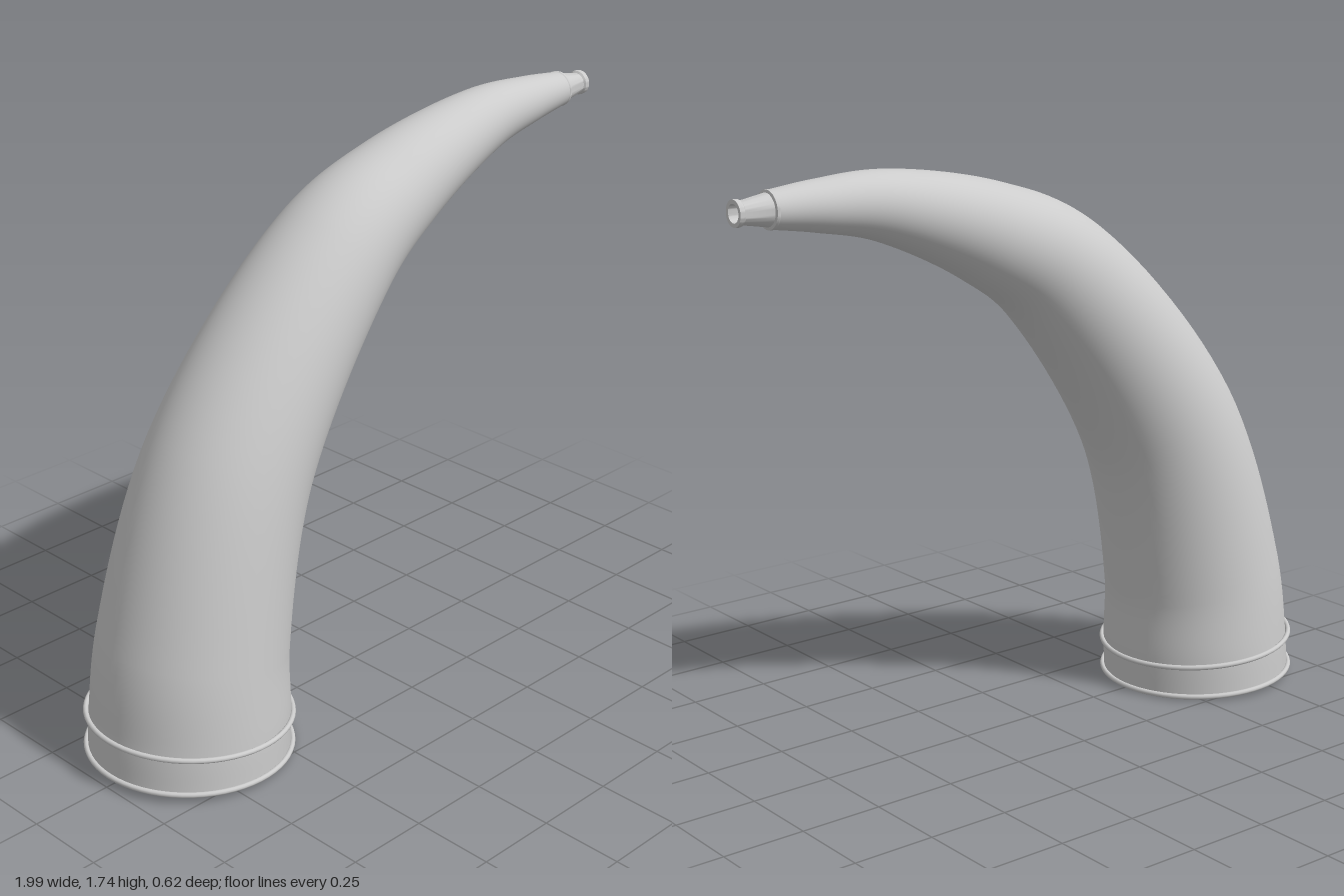
import * as THREE from 'three';
import { toCreasedNormals } from 'three/addons/utils/BufferGeometryUtils.js';

const UP = new THREE.Vector3(0, 1, 0);
const SIDES = 64;

// Centre line of the horn in the xy plane; the third number is the radius there.
const path = new THREE.CatmullRomCurve3([
  [-0.685, 0.018, 0.297], [-0.679, 0.125, 0.295], [-0.66, 0.345, 0.281],
  [-0.5, 0.865, 0.244], [-0.092, 1.374, 0.19], [0.163, 1.521, 0.153],
  [0.525, 1.636, 0.101], [0.74, 1.656, 0.073], [0.89, 1.66, 0.053],
].map((p) => new THREE.Vector3(...p)));

// Point, direction and radius of the horn at t
function frame(t) {
  const p = path.getPoint(t);
  const d = path.getTangent(t).setZ(0).normalize();
  return { centre: new THREE.Vector3(p.x, p.y, 0), dir: d, radius: p.z };
}

// Skin of round cross-sections following the centre line
function sweep(steps) {
  const pos = [], index = [];
  for (let i = 0; i <= steps; i++) {
    const { centre, dir, radius } = frame(i / steps);
    for (let j = 0; j < SIDES; j++) {
      const a = (j / SIDES) * Math.PI * 2;
      const c = Math.cos(a) * radius;
      pos.push(centre.x + dir.y * c, centre.y - dir.x * c, Math.sin(a) * radius);
      if (i === steps) continue;
      const k = i * SIDES, n = (j + 1) % SIDES;
      index.push(k + j, k + SIDES + j, k + n, k + n, k + SIDES + j, k + SIDES + n);
    }
  }
  const geo = new THREE.BufferGeometry();
  geo.setAttribute('position', new THREE.Float32BufferAttribute(pos, 3));
  geo.setIndex(index);
  geo.computeVertexNormals();
  return geo;
}

export function createModel() {
  const group = new THREE.Group();
  const grey = new THREE.MeshStandardMaterial({ color: 0xcccccc });

  // Adds a part modelled along +y, set on a centre and turned to a direction
  function add(name, geo, centre, dir) {
    const mesh = new THREE.Mesh(geo, grey);
    mesh.name = name;
    if (centre) {
      mesh.position.copy(centre);
      mesh.quaternion.setFromUnitVectors(UP, dir);
    }
    group.add(mesh);
  }

  add('hornBody', sweep(96));

  // Flat base closing the wide end
  const baseDir = new THREE.Vector3(0.037, 1, 0).normalize();
  const base = frame(0);
  const disc = new THREE.CircleGeometry(0.3, SIDES).rotateX(Math.PI / 2);
  add('baseDisc', disc, new THREE.Vector3(-0.685, 0.013, 0), baseDir);

  // Two thin beads around the wide end
  const bead = () => new THREE.TorusGeometry(0.302, 0.008, 10, SIDES).rotateX(Math.PI / 2);
  add('baseBead', bead(), base.centre.clone().setY(0.02), baseDir);
  add('upperBead', bead(), new THREE.Vector3(-0.681, 0.125, 0),
    new THREE.Vector3(0.07, 1, 0).normalize());

  // Tapered hollow spout with a flared lip
  const profile = [
    [0.053, -0.004], [0.055, 0], [0.054, 0.007], [0.046, 0.009],
    [0.032, 0.09], [0.037, 0.095], [0.038, 0.102], [0.037, 0.11],
    [0.026, 0.11], [0.024, 0.02], [0, 0.02],
  ].map((p) => new THREE.Vector2(...p));
  const spout = toCreasedNormals(new THREE.LatheGeometry(profile, 40), 0.6);
  add('spout', spout, new THREE.Vector3(0.89, 1.66, 0), new THREE.Vector3(1, 0, 0));

  return group;
}
